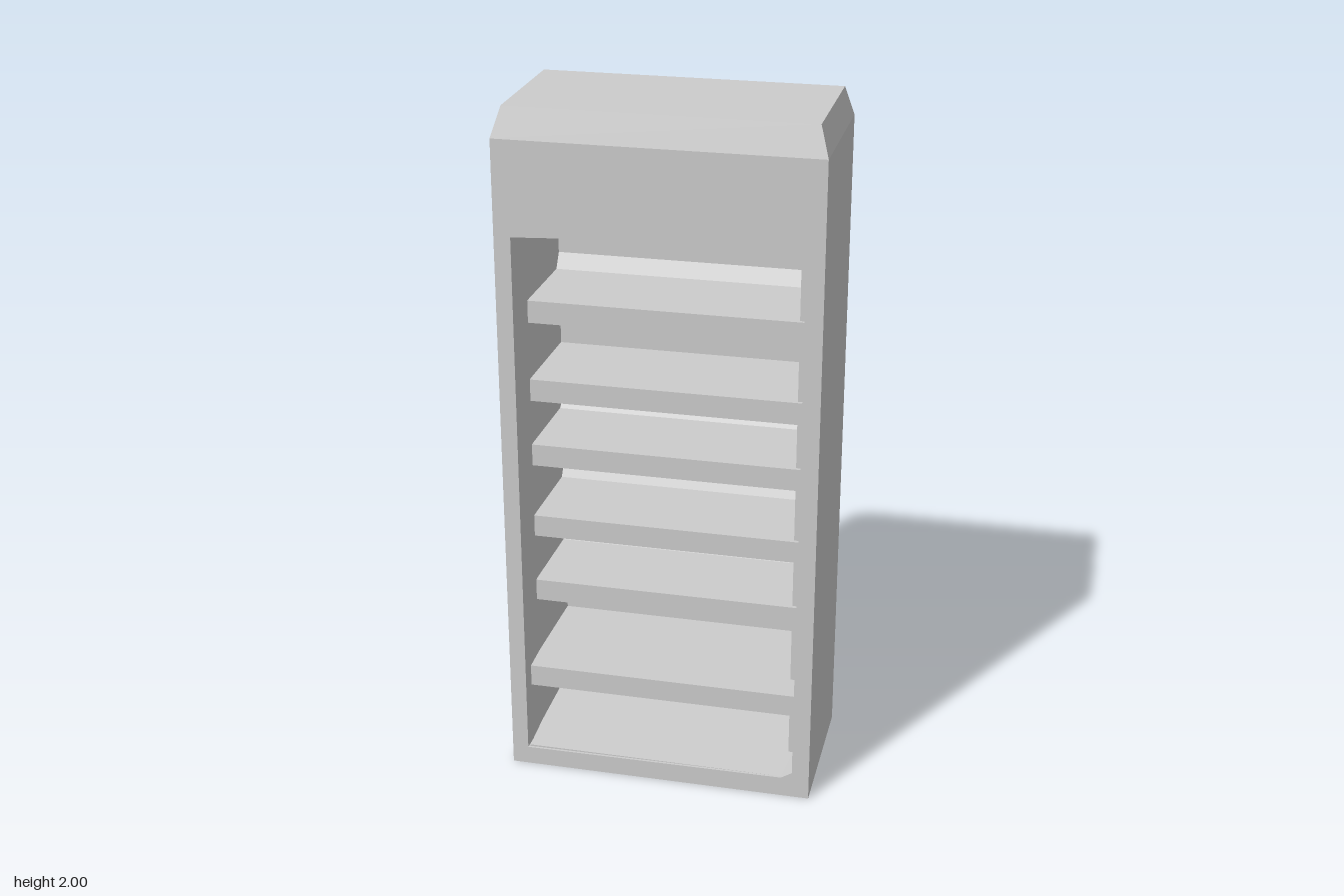
import * as THREE from 'three';

const W = 0.447, D = 0.227, SHOULDER = 1.917, BACK = -0.175;

export function createModel() {
  const group = new THREE.Group();
  const material = new THREE.MeshStandardMaterial({ color: 0xcccccc, flatShading: true });
  const add = (name, geometry) => {
    const mesh = new THREE.Mesh(geometry, material);
    mesh.name = name;
    group.add(mesh);
    return mesh;
  };
  const polygon = (Type, points) => new Type(points.map(([x, y]) => new THREE.Vector2(x, y)));

  // Side profile (z, y) swept across the opening
  const addAcross = (name, points) => {
    const geometry = new THREE.ExtrudeGeometry(polygon(THREE.Shape, points), { depth: 0.79, bevelEnabled: false });
    geometry.rotateY(-Math.PI / 2);
    geometry.translate(0.395, 0, 0);
    add(name, geometry);
  };

  // Casing with a front opening whose left wall and ceiling taper towards the back
  const outline = polygon(THREE.Shape, [[-W, 0], [W, 0], [W, SHOULDER], [-W, SHOULDER]]);
  outline.holes.push(polygon(THREE.Path, [
    [-0.4, 0.055], [-0.4, 1.65], [0, 1.67], [0.365, 1.67], [0.397, 1.61], [0.397, 0.08], [0.365, 0.06],
  ]));
  const casing = new THREE.ExtrudeGeometry(outline, { depth: D - BACK, bevelEnabled: false });
  casing.translate(0, 0, BACK);
  const p = casing.attributes.position;
  for (let i = 0; i < p.count; i++) {
    const inner = Math.abs(p.getX(i)) < W - 0.01;
    if (!inner || p.getZ(i) > 0) continue;
    p.setX(i, Math.max(p.getX(i), -0.385));
    p.setY(i, Math.min(p.getY(i), 1.61));
  }
  casing.computeVertexNormals();
  add('casing', casing);

  // Step inside the left wall of the opening, level with the shelf fronts
  add('wallLedge', new THREE.BoxGeometry(0.05, 1.58, 0.1 - BACK))
    .position.set(0.39, 0.85, (0.1 + BACK) / 2);

  // Back panel
  add('backPanel', new THREE.BoxGeometry(2 * W, SHOULDER, D + BACK))
    .position.set(0, SHOULDER / 2, (BACK - D) / 2);

  // Top cap with sloping sides
  const cap = new THREE.BoxGeometry(2 * W, 2 - SHOULDER, 2 * D);
  const c = cap.attributes.position;
  for (let i = 0; i < c.count; i++) {
    if (c.getY(i) > 0) c.setXYZ(i, Math.sign(c.getX(i)) * 0.422, c.getY(i), Math.sign(c.getZ(i)) * 0.2);
  }
  cap.computeVertexNormals();
  add('topCap', cap).position.y = (2 + SHOULDER) / 2;

  // Shelves: [top height, front z, rise at the rear, drop of the underside]
  const shelves = [
    [1.43, 0.11, 0.06, 0.02], [1.195, 0.11, 0, 0], [0.995, 0.11, 0.03, 0.03],
    [0.77, 0.11, 0.06, 0.05], [0.56, 0.11, 0.02, 0.02], [0.315, 0.19, 0, 0],
  ];
  shelves.forEach(([top, front, rise, drop], i) => addAcross('shelf' + (i + 1), [
    [front, top - 0.065], [front, top], [BACK + 0.025, top + 0.005],
    [BACK - 0.01, top + rise + 0.005], [BACK - 0.01, top - 0.065 - drop],
  ]));

  // Floor of the opening, rising gently to the back
  addAcross('floorShelf', [[0.22, 0.01], [0.22, 0.06], [BACK - 0.01, 0.09], [BACK - 0.01, 0.01]]);

  return group;
}
